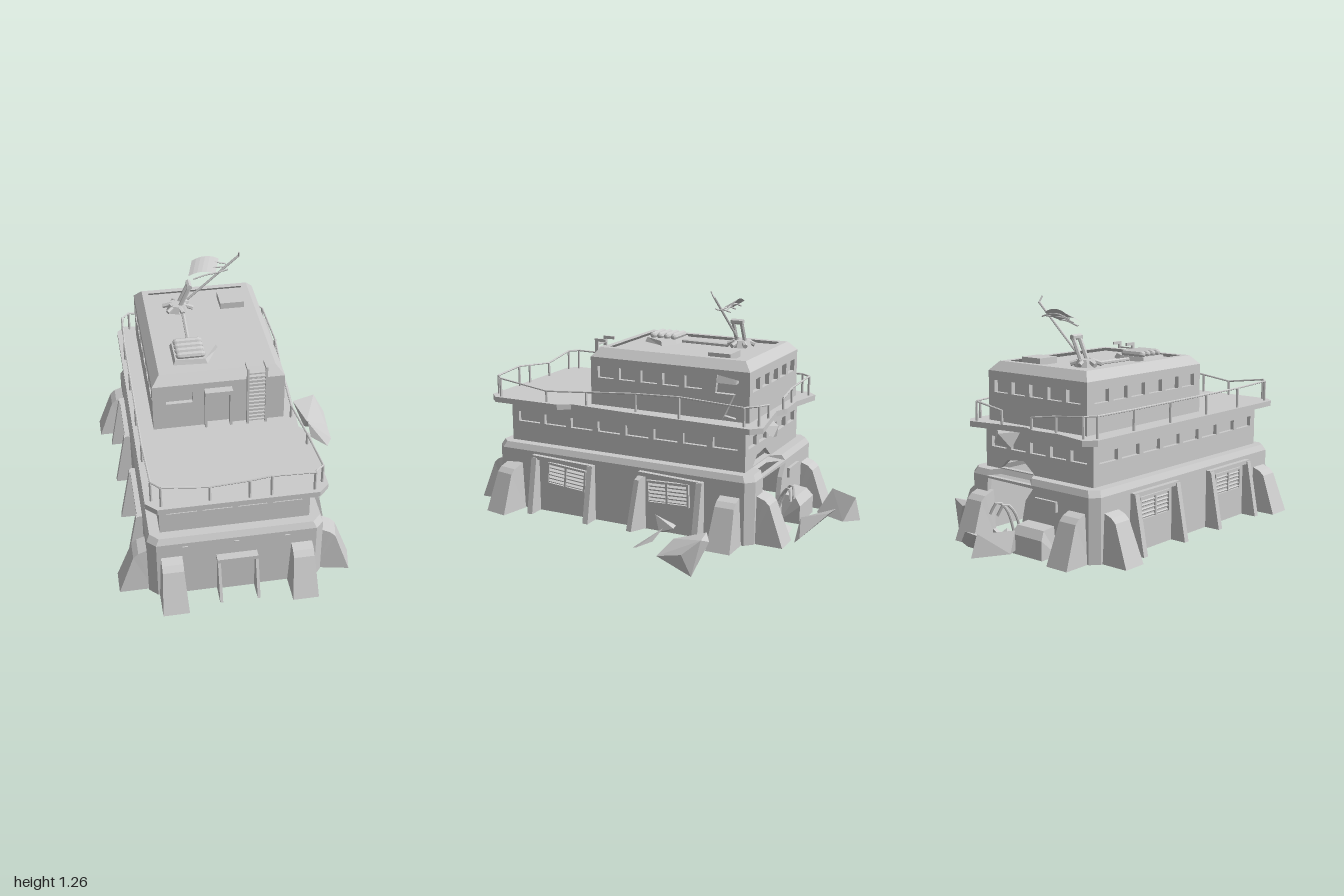
import * as THREE from 'three';
import { ConvexGeometry } from 'three/addons/geometries/ConvexGeometry.js';

const mat = new THREE.MeshStandardMaterial({ color: 0xcccccc, flatShading: true, side: THREE.DoubleSide });
const V = (a) => new THREE.Vector3(...a);

export function createModel() {
  const root = new THREE.Group();
  root.name = 'ruinedBunker';
  const add = (name, geo, parent = root) => {
    const m = new THREE.Mesh(geo, mat);
    m.name = name;
    parent.add(m);
    return m;
  };
  const group = (name) => {
    const g = new THREE.Group();
    g.name = name;
    root.add(g);
    return g;
  };
  // box given by its min and max corners
  const box = (name, x0, x1, y0, y1, z0, z1, parent) => {
    const m = add(name, new THREE.BoxGeometry(x1 - x0, y1 - y0, z1 - z0), parent);
    m.position.set((x0 + x1) / 2, (y0 + y1) / 2, (z0 + z1) / 2);
    return m;
  };
  const rod = (name, a, b, r, parent) => {
    const p = V(a), q = V(b), d = q.clone().sub(p);
    const m = add(name, new THREE.CylinderGeometry(r, r, d.length(), 6), parent);
    m.position.copy(p).add(q).multiplyScalar(0.5);
    m.quaternion.setFromUnitVectors(new THREE.Vector3(0, 1, 0), d.normalize());
  };
  const tube = (name, pts, r, parent) =>
    add(name, new THREE.TubeGeometry(new THREE.CatmullRomCurve3(pts.map(V)), 10, r, 6), parent);
  const chunk = (name, pts, parent) => add(name, new ConvexGeometry(pts.map(V)), parent);

  // plan outline with cut corners: front, left, back, right edges at 0, 2, 4, 6
  const plan = (x0, x1, z0, z1, c) => [
    [x0 + c, z1], [x1 - c, z1], [x1, z1 - c], [x1, z0 + c],
    [x1 - c, z0], [x0 + c, z0], [x0, z0 + c], [x0, z1 - c]];
  const poly = (pts, C = THREE.Shape) => new C(pts.map(([x, y]) => new THREE.Vector2(x, y)));
  const flip = (pts) => pts.map(([x, z]) => [x, -z]);
  const extrude = (shape, depth) => new THREE.ExtrudeGeometry(shape, { depth, bevelEnabled: false });

  // horizontal slab whose upper edge draws in by inset
  const slab = (name, outline, y0, y1, inset = 0, hole = null, c = [-0.09, 0.13]) => {
    const shape = poly(flip(outline));
    if (hole) shape.holes.push(poly(flip(hole), THREE.Path));
    const g = extrude(shape, y1 - y0).rotateX(-Math.PI / 2).translate(0, y0, 0);
    const p = g.attributes.position;
    for (let i = 0; i < p.count; i++) {
      if (p.getY(i) < y1 - 1e-4) continue;
      p.setX(i, p.getX(i) - Math.sign(p.getX(i) - c[0]) * inset);
      p.setZ(i, p.getZ(i) - Math.sign(p.getZ(i) - c[1]) * inset);
    }
    add(name, g);
  };
  // upright walls along an outline; holes[edge] lists polygons in (along, height)
  const walls = (name, outline, y0, y1, holes = {}, t = 0.025) => {
    const g = group(name);
    outline.forEach(([px, pz], i) => {
      const [qx, qz] = outline[(i + 1) % outline.length];
      const L = Math.hypot(qx - px, qz - pz);
      if (L < 0.01) return;
      const shape = poly([[0, y0], [L, y0], [L, y1], [0, y1]]);
      (holes[i] || []).forEach((h) => shape.holes.push(poly(h, THREE.Path)));
      const m = add('wall', extrude(shape, t).translate(0, 0, -t), g);
      m.position.set(px, 0, pz);
      m.rotation.y = Math.atan2(pz - qz, qx - px);
    });
  };
  const rect = (a, b, c, d) => [[a, c], [b, c], [b, d], [a, d]];
  const row = (start, end, n, y0, y1, gap = 0.03) => {
    const s = (end - start + gap) / n;
    return Array.from({ length: n }, (_, i) => rect(start + i * s, start + i * s + s - gap, y0, y1));
  };

  // lower storey with a breach in the back wall
  walls('baseWalls', plan(-0.51, 0.33, -0.6, 0.86, 0.04), 0.075, 0.39, {
    4: [[[0.12, 0.13], [0.2, 0.09], [0.32, 0.1], [0.34, 0.22], [0.36, 0.31], [0.41, 0.375], [0.1, 0.38], [0.09, 0.27]]],
  });
  const ledge = plan(-0.51, 0.33, -0.6, 0.86, 0.04);
  ledge.splice(5, 0, [0.2, -0.6], [0.17, -0.53], [-0.03, -0.53], [-0.11, -0.6]);
  slab('baseLedge', ledge, 0.39, 0.42, 0.015, plan(-0.42, 0.24, -0.51, 0.775, 0));

  // middle storey with window bands
  const mid = [0.525, 0.578];
  walls('middleWalls', plan(-0.445, 0.265, -0.535, 0.8, 0), 0.42, 0.63, {
    0: row(0.035, 0.675, 4, ...mid, 0.025), 2: row(0.04, 1.295, 8, ...mid),
    4: [...row(0.04, 0.67, 5, ...mid), [[0.1, 0.425], [0.33, 0.425], [0.26, 0.48], [0.15, 0.47]]],
    6: row(0.04, 1.295, 8, ...mid),
  });
  walls('middleWindowBacks', plan(-0.425, 0.245, -0.515, 0.78, 0), 0.5, 0.6, {}, 0.008);

  // deck with a broken back edge
  const deck = plan(-0.51, 0.33, -0.63, 0.91, 0.05);
  deck.splice(5, 0, [0.12, -0.6], [-0.05, -0.57], [-0.12, -0.6], [-0.28, -0.59]);
  deck.splice(3, 0, [0.33, 0.48], [0.29, 0.42], [0.31, 0.1]);
  slab('deck', deck, 0.63, 0.658);

  // upper cabin
  const up = [0.8, 0.86];
  walls('cabinWalls', plan(-0.41, 0.235, -0.54, 0.33, 0), 0.655, 0.905, {
    0: [rect(0.065, 0.195, 0.8, 0.86), rect(0.255, 0.38, 0.657, 0.85)],
    2: [...row(0.04, 0.62, 5, ...up), [[0.68, 0.69], [0.8, 0.67], [0.82, 0.86], [0.7, 0.88]]],
    4: row(0.04, 0.605, 5, ...up), 6: row(0.05, 0.82, 6, ...up),
  });
  walls('cabinWindowBacks', plan(-0.388, 0.213, -0.518, 0.308, 0), 0.655, 0.9, {}, 0.008);
  slab('roofParapet', plan(-0.41, 0.235, -0.54, 0.33, 0), 0.905, 0.95, 0.04,
    plan(-0.378, 0.203, -0.508, 0.298, 0), [-0.09, -0.1]);
  box('roof', -0.375, 0.2, 0.9, 0.932, -0.505, 0.295);
  box('cabinDoorLintel', -0.16, -0.025, 0.85, 0.872, 0.325, 0.37);
  for (const x of [-0.16, -0.037]) box('cabinDoorJamb', x, x + 0.012, 0.655, 0.85, 0.325, 0.355);

  // ladder hooked over the roof edge
  const ladder = group('ladder');
  for (const x of [0.045, 0.135]) {
    box('ladderRail', x, x + 0.01, 0.655, 0.98, 0.34, 0.358, ladder);
    box('ladderHook', x, x + 0.01, 0.965, 0.98, 0.295, 0.34, ladder);
  }
  for (let i = 0; i < 14; i++) box('rung', 0.05, 0.14, 0.672 + i * 0.021, 0.679 + i * 0.021, 0.343, 0.355, ladder);

  // sloped supports: profile is (outward, height), placed on a wall facing angle
  const support = (name, x, z, angle, w, profile, taper = 0.8) => {
    const g = extrude(poly(profile), w).translate(0, 0, -w / 2).rotateY(-Math.PI / 2);
    const p = g.attributes.position;
    for (let i = 0; i < p.count; i++) if (p.getY(i) > 0.2) p.setX(i, p.getX(i) * taper);
    const m = add(name, g);
    m.position.set(x, 0, z);
    m.rotation.y = angle;
    return m;
  };
  const big = [[-0.02, 0.075], [0.14, 0.075], [0.065, 0.275], [0.04, 0.298], [-0.02, 0.32]];
  const fin = [[-0.01, 0.075], [0.085, 0.075], [0.03, 0.365], [-0.01, 0.365]];
  const bentFin = [[-0.01, 0.075], [0.115, 0.09], [0.05, 0.34], [-0.01, 0.365]];
  const H = Math.PI / 2;
  for (const x of [-0.4, 0.22]) {
    support('frontButtress', x, 0.86, 0, 0.125, big);
    support('backButtress', x, -0.6, Math.PI, 0.125, big);
  }
  for (const z of [-0.485, 0.75]) {
    support('rightButtress', -0.51, z, -H, 0.125, big);
    support('leftButtress', z > 0 ? 0.345 : 0.33, z, H + (z > 0 ? -0.2 : 0), 0.125, big);
  }
  for (const s of [-1, 1]) {
    const x = s < 0 ? -0.51 : 0.33;
    for (const z of [-0.335, -0.015, 0.275, 0.61]) {
      const bent = s > 0 && z === -0.015;
      support('sideFin', x, z, s * H - (bent ? 0.2 : 0), 0.03, bent ? bentFin : fin, 1);
    }
    // bay hoods and louvred vents
    for (const [z0, z1] of [[-0.35, 0], [0.26, 0.625]]) {
      const hood = box('bayHood', x - 0.025, x + 0.025, 0.352, 0.372, z0, z1);
      const vent = group('vent');
      const c = (z0 + z1) / 2 + 0.005;
      for (const y of [0.22, 0.33]) box('ventFrame', x - 0.01, x + 0.016, y, y + 0.01, -0.115, 0.115, vent);
      for (const z of [-0.115, 0, 0.105]) box('ventFrame', x - 0.01, x + 0.016, 0.22, 0.34, z, z + 0.01, vent);
      for (let i = 0; i < 5; i++) {
        box('louvre', x - 0.008, x + 0.014, 0.238 + i * 0.019, 0.244 + i * 0.019, -0.11, 0.11, vent).rotation.z = -s * 0.5;
      }
      vent.position.z = c;
      // the left side has sagged
      if (s > 0) {
        hood.rotation.x = -0.03;
        vent.rotation.x = z0 > 0 ? -0.08 : 0.04;
      }
    }
  }

  // front entrance and slits
  box('frontDoor', -0.175, -0.005, 0.075, 0.275, 0.85, 0.866);
  box('frontDoorLintel', -0.19, 0.005, 0.275, 0.295, 0.85, 0.9);
  for (const x of [-0.18, 0]) support('frontDoorFin', x, 0.86, 0, 0.014, [[0, 0.075], [0.1, 0.075], [0.03, 0.28], [0, 0.28]], 1);
  for (const x of [-0.335, -0.092, 0.15]) box('slit', x - 0.013, x + 0.013, 0.365, 0.372, 0.855, 0.866);

  // back wall fittings
  support('backBlock', -0.17, -0.6, Math.PI, 0.2, [[-0.01, 0.075], [0.1, 0.075], [0.1, 0.17], [0.07, 0.21], [-0.01, 0.22]], 0.85);
  box('backPanel', -0.28, -0.14, 0.29, 0.34, -0.615, -0.59);

  // railings: each a run of post tops, feet set on the deck
  const railing = (pts) => {
    const g = group('railing');
    pts.forEach((p, i) => {
      rod('post', [p[0], 0.64, p[2]], p, 0.007, g);
      if (i) rod('rail', pts[i - 1], p, 0.005, g);
    });
  };
  railing([[-0.48, 0.76, -0.55], [-0.49, 0.76, -0.3], [-0.49, 0.76, -0.02], [-0.49, 0.76, 0.28], [-0.49, 0.76, 0.56],
    [-0.48, 0.765, 0.84], [-0.44, 0.765, 0.885], [-0.22, 0.735, 0.88], [-0.04, 0.755, 0.89], [0.06, 0.768, 0.89], [0.26, 0.757, 0.885],
    [0.305, 0.755, 0.84], [0.3, 0.715, 0.56], [0.27, 0.725, 0.34], [0.28, 0.75, 0.05], [0.3, 0.765, -0.2], [0.3, 0.75, -0.54]]);
  railing([[-0.48, 0.76, -0.55], [-0.44, 0.76, -0.6], [-0.25, 0.735, -0.575], [-0.1, 0.715, -0.585]]);
  railing([[0.3, 0.75, -0.54], [0.26, 0.755, -0.6], [0.1, 0.725, -0.585]]);

  // rooftop: hatch, cable and canisters on a plate
  box('hatch', 0.02, 0.145, 0.925, 0.965, -0.4, -0.28);
  tube('cable', [[-0.18, 0.94, -0.25], [-0.185, 0.94, -0.12], [-0.19, 0.94, 0.02]], 0.01);
  slab('canisterPlate', [[-0.29, 0.2], [-0.12, 0.21], [-0.05, 0.07], [-0.12, 0.02], [-0.29, 0.02]], 0.925, 0.955, 0.012, null, [-0.19, 0.1]);
  for (let i = 0; i < 4; i++) {
    const m = add('canister', new THREE.CapsuleGeometry(0.018, 0.11, 3, 8));
    m.rotation.z = H;
    m.position.set(-0.2, 0.966, 0.048 + i * 0.04);
  }

  // fallen aerial
  const aerial = group('aerial');
  const hub = add('aerialBase', new THREE.CylinderGeometry(0.045, 0.06, 0.035, 8), aerial);
  hub.position.set(-0.2, 0.955, -0.31);
  for (let i = 0; i < 6; i++) {
    const a = i * Math.PI / 3 + 0.3, c = Math.cos(a), s = Math.sin(a);
    rod('baseFoot', [-0.2 + c * 0.03, 0.965, -0.31 + s * 0.03], [-0.2 + c * 0.08, 0.95, -0.31 + s * 0.07], 0.012, aerial);
  }
  for (const z of [-0.335, -0.29]) rod('strut', [-0.19, 0.965, z], [-0.14, 1.07, z], 0.011, aerial);
  rod('strutHead', [-0.14, 1.075, -0.345], [-0.14, 1.075, -0.28], 0.014, aerial);
  rod('mast', [-0.15, 0.99, -0.31], [0.12, 1.23, -0.3], 0.006, aerial);
  rod('mastTip', [0.12, 1.225, -0.3], [0.115, 1.258, -0.28], 0.004, aerial);
  for (let i = 0; i < 3; i++) {
    const d = i * 0.03, z = -0.34 + d;
    tube('aerialRib', [[0.06, 1.165, z], [0, 1.18 - d * 0.5, z], [-0.05, 1.18 - d * 0.6, z], [-0.12, 1.16 - d * 0.6, z]], 0.004, aerial);
  }
  // torn curved panel
  const sail = new THREE.PlaneGeometry(0.14, 1, 6, 2);
  const sp = sail.attributes.position;
  for (let i = 0; i < sp.count; i++) {
    const x = sp.getX(i), v = sp.getY(i);
    sp.setXYZ(i, x - 0.06 - v * 0.03, 1.185 - x * x * 4 - v * 0.045, -0.32 + v * 0.08);
  }
  sail.computeVertexNormals();
  add('aerialPanel', sail, aerial);

  // damaged slabs at the back left corner
  chunk('fallenCabinSlab', [[0.235, 0.84, -0.35], [0.24, 0.84, -0.47], [0.2, 0.94, -0.39], [0.2, 0.94, -0.48], [0.17, 0.85, -0.36], [0.17, 0.85, -0.48]]);
  chunk('leaningSlab', [0.212, 0.24].flatMap((x) => [[x, 0.66, -0.24], [x, 0.66, -0.4], [x, 0.79, -0.36], [x, 0.79, -0.46]]));
  chunk('hangingConcrete', [[0.0, 0.63, -0.56], [0.16, 0.63, -0.56], [0.02, 0.55, -0.6], [0.12, 0.57, -0.62], [0.08, 0.62, -0.63]]);
  for (const x of [-0.03, 0.02]) {
    tube('bentBar', [[x, 0.1, -0.58], [x, 0.26, -0.64], [x + 0.02, 0.3, -0.68], [x + 0.05, 0.24, -0.7]], 0.007);
  }

  // rubble
  const rubble = group('rubble');
  chunk('sideRubble', [[0.47, 0.17, -0.43], [0.53, 0.15, -0.47], [0.6, 0.18, -0.46], [0.645, 0.11, -0.38], [0.64, 0.08, -0.25],
    [0.62, 0.0, -0.42], [0.51, 0.08, -0.3], [0.52, 0.13, -0.28]], rubble);
  chunk('sideRubble', [[0.51, 0.17, -0.22], [0.62, 0.14, -0.22], [0.63, 0.1, -0.14], [0.6, 0.08, -0.1], [0.52, 0.1, -0.17]], rubble);
  chunk('wallRubble', [[0.33, 0.15, -0.1], [0.36, 0.17, -0.1], [0.38, 0.09, -0.13], [0.38, 0.12, -0.21], [0.34, 0.08, -0.15], [0.33, 0.12, -0.2]], rubble);
  chunk('backSlab', [[-0.22, 0.24, -0.82], [-0.13, 0.24, -0.97], [-0.12, 0.13, -1.0], [-0.06, 0.13, -0.93], [-0.16, 0.12, -0.76], [-0.23, 0.14, -0.86]], rubble);
  chunk('backSlab', [[-0.1, 0.14, -0.79], [-0.04, 0.2, -0.9], [0.04, 0.2, -0.89], [0.18, 0.1, -0.79], [0.17, 0.07, -0.76],
    [0.02, 0.05, -0.72], [0.0, 0.14, -0.73]], rubble);
  chunk('breachRubble', [[-0.04, 0.08, -0.55], [0.14, 0.08, -0.55], [0.13, 0.06, -0.7], [-0.02, 0.07, -0.68], [0.06, 0.15, -0.6]], rubble);
  return root;
}
